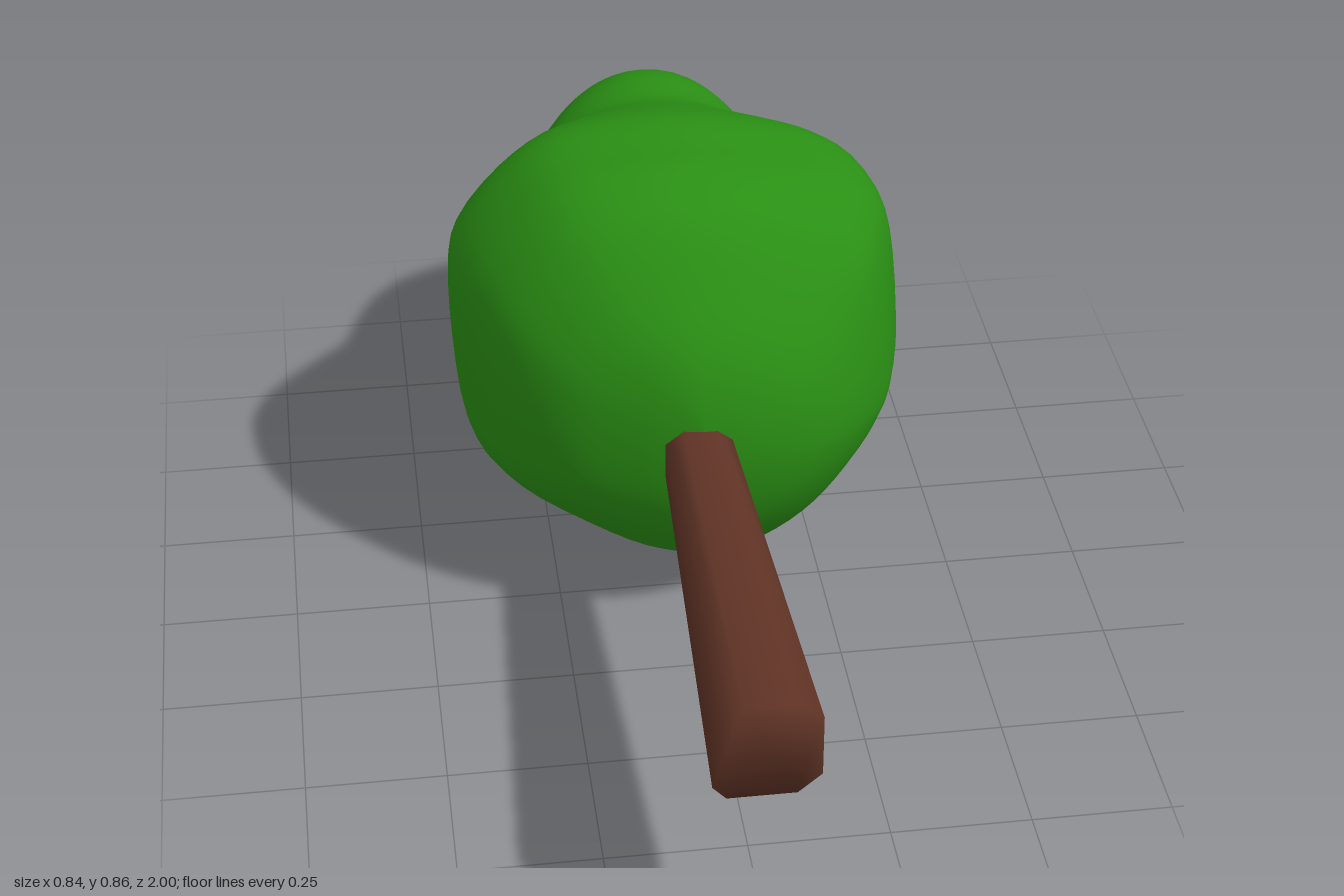
import * as THREE from 'three';
import { mergeVertices } from 'three/addons/utils/BufferGeometryUtils.js';

const AXIS_Y = 0.43;

// Crown sections from front to back: z, left edge, right edge, bottom, top, squareness
const SECTIONS = [
  [0.2, 0.03, 0.03, 0.43, 0.43, 0],
  [0.19, -0.04, 0.12, 0.34, 0.52, 0],
  [0.16, -0.13, 0.21, 0.25, 0.61, 0.1],
  [0.1, -0.25, 0.29, 0.165, 0.7, 0.3],
  [0, -0.345, 0.365, 0.07, 0.81, 0.6],
  [-0.1, -0.39, 0.4, 0.02, 0.85, 0.9],
  [-0.19, -0.415, 0.418, 0.001, 0.855, 1],
  [-0.3, -0.42, 0.4, 0.04, 0.855, 1],
  [-0.4, -0.39, 0.365, 0.11, 0.82, 0.8],
  [-0.5, -0.345, 0.335, 0.165, 0.775, 0.3],
  [-0.58, -0.305, 0.3, 0.172, 0.745, -0.2],
  [-0.7, -0.25, 0.25, 0.2, 0.735, -0.2],
  [-0.8, -0.2, 0.205, 0.25, 0.68, 0],
  [-0.9, -0.15, 0.155, 0.315, 0.58, 0],
  [-0.965, -0.09, 0.09, 0.36, 0.495, 0],
  [-0.992, -0.04, 0.04, 0.395, 0.45, 0],
  [-1, 0, 0, 0.42, 0.42, 0],
];

// Lumpy outline of the widest section, each half scaled to 1
const OUTLINE = [
  [1, -0.03], [0.96, 0.5], [0.88, 0.72], [0.71, 0.85], [0.46, 0.93], [0, 1],
  [-0.46, 0.96], [-0.72, 0.82], [-0.95, 0.55], [-1, 0.3], [-0.99, -0.1],
  [-0.95, -0.38], [-0.83, -0.54], [-0.52, -0.71], [-0.2, -0.91], [0.1, -1],
  [0.36, -0.93], [0.6, -0.74], [0.79, -0.48], [0.95, -0.23],
];

const spline = (points, closed = false) =>
  new THREE.CatmullRomCurve3(points, closed, 'catmullrom', 0.5);

// Welds the corners so shading runs smoothly over the surface
function smooth(geometry) {
  geometry.deleteAttribute('normal');
  geometry.deleteAttribute('uv');
  const welded = mergeVertices(geometry, 1e-4);
  welded.computeVertexNormals();
  return welded;
}

function crownGeometry(rows = 72, around = 72) {
  const widths = spline(SECTIONS.map(([z, l, r]) => new THREE.Vector3(l, r, z)));
  const heights = spline(SECTIONS.map((s) => new THREE.Vector3(s[3], s[4], s[5])));
  const outline = spline(OUTLINE.map(([x, y]) => new THREE.Vector3(x, y, 0)), true);
  const positions = [];
  const indices = [];
  for (let i = 0; i <= rows; i++) {
    const { x: left, y: right, z } = widths.getPoint(i / rows);
    const { x: bottom, y: top, z: square } = heights.getPoint(i / rows);
    // The split line follows the axis but stays inside the section
    const mid = THREE.MathUtils.clamp(AXIS_Y, bottom, top);
    for (let j = 0; j < around; j++) {
      const p = outline.getPoint(j / around);
      const q = p.clone().normalize().lerp(p, square);
      positions.push(
        q.x * (q.x > 0 ? right : -left) + (i === 0 ? 0.03 - q.x * 0.03 * Math.sign(q.x) * Math.sign(q.x) * (q.x > 0 ? 1 : -1) : 0),
        mid + q.y * (q.y > 0 ? top - mid : mid - bottom),
        z,
      );
      if (i === 0) positions[positions.length - 3] = 0.03; // front pole
      if (i < rows) {
        const k = (j + 1) % around;
        const a = i * around + j, b = i * around + k;
        indices.push(a, a + around, b, b, a + around, b + around);
      }
    }
  }
  const geometry = new THREE.BufferGeometry();
  geometry.setAttribute('position', new THREE.Float32BufferAttribute(positions, 3));
  geometry.setIndex(indices);
  return smooth(geometry);
}

// Eight-sided trunk, widest at its foot (z = 1) and narrowing into the crown
function trunkGeometry() {
  const foot = [
    [0.09, 0.06], [0.05, 0.09], [-0.04, 0.09], [-0.088, 0.045],
    [-0.088, -0.065], [-0.065, -0.09], [0.05, -0.09], [0.09, -0.055],
  ];
  const shape = new THREE.Shape(foot.map(([x, y]) => new THREE.Vector2(x, y)));
  const geometry = new THREE.ExtrudeGeometry(shape, { depth: 1.1, bevelEnabled: false });
  const pos = geometry.attributes.position;
  for (let i = 0; i < pos.count; i++) {
    const s = pos.getZ(i) > 0.5 ? 1 : 0.55;
    pos.setXY(i, pos.getX(i) * s, pos.getY(i) * s);
  }
  geometry.translate(-0.01, 0.425, -0.1);
  return smooth(geometry);
}

export function createModel() {
  const tree = new THREE.Group();
  tree.name = 'tree';
  const add = (name, geometry, color) => {
    const mesh = new THREE.Mesh(geometry, new THREE.MeshStandardMaterial({ color }));
    mesh.name = name;
    tree.add(mesh);
  };
  add('crown', crownGeometry(), 0x2a8f14);
  add('trunk', trunkGeometry(), 0x613426);
  return tree;
}
